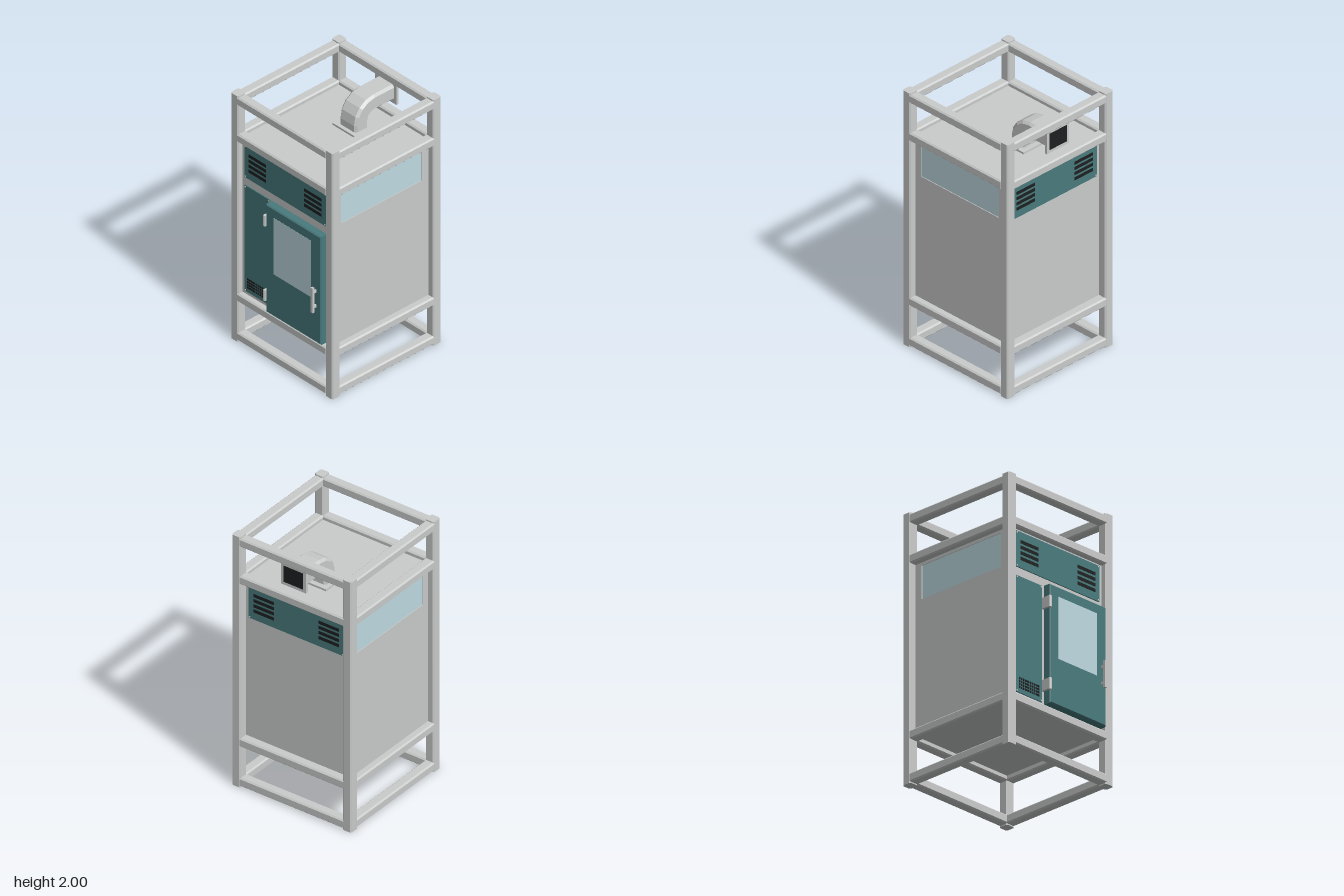
import * as THREE from 'three';

const mat = (name, color) => new THREE.MeshStandardMaterial({ name, color });

export function createModel() {
  const grey = mat('grey metal', 0xcacccb);
  const teal = mat('teal paint', 0x487a7d);
  const glass = mat('pale glass', 0xbedae1);
  const black = mat('black opening', 0x1c1f20);
  const root = new THREE.Group();
  root.name = 'cabinet';
  const ZC = -0.032; // middle of the frame in depth
  const FRONT = 0.425, BACK = -0.468, SIDE = 0.45; // faces of the enclosure

  const add = (parent, name, geo, material, x = 0, y = 0, z = 0) => {
    const m = new THREE.Mesh(geo, material);
    m.name = name;
    m.position.set(x, y, z);
    parent.add(m);
    return m;
  };
  // Box given by its limits on each axis
  const box = (parent, name, material, [x0, x1], [y0, y1], [z0, z1]) =>
    add(parent, name, new THREE.BoxGeometry(x1 - x0, y1 - y0, z1 - z0), material,
      (x0 + x1) / 2, (y0 + y1) / 2, (z0 + z1) / 2);
  const group = (name, parent = root) => {
    const g = new THREE.Group();
    g.name = name;
    parent.add(g);
    return g;
  };
  // Corner points of a chamfered rectangle, counter-clockwise
  const octagon = (w, h, c) => {
    const a = w / 2, b = h / 2;
    return [[a, -b + c], [a, b - c], [a - c, b], [-a + c, b], [-a, b - c], [-a, -b + c], [-a + c, -b], [a - c, -b]]
      .map(p => new THREE.Vector2(...p));
  };
  const bar = (w, h, length, c = 0.01) => {
    const g = new THREE.ExtrudeGeometry(new THREE.Shape(octagon(w, h, c)), { depth: length, bevelEnabled: false });
    return g.translate(0, 0, -length / 2);
  };
  const rectPath = (Type, x0, x1, y0, y1) => new Type(
    [[x0, y0], [x1, y0], [x1, y1], [x0, y1]].map(p => new THREE.Vector2(...p)));

  // Frame: four posts and four rings of rails
  const frame = group('frame');
  const T = 0.074, H = 0.068, off = 0.5 - T / 2;
  for (const sx of [-1, 1]) for (const sz of [-1, 1])
    add(frame, 'post', bar(T, T, 2).rotateX(Math.PI / 2), grey, sx * off, 1, ZC + sz * off);
  for (const y of [0.0425, 0.3585, 1.6575, 1.9565]) for (const s of [-1, 1]) {
    add(frame, 'crossRail', bar(T, H, 0.87).rotateY(Math.PI / 2), grey, 0, y, ZC + s * off);
    add(frame, 'sideRail', bar(T, H, 0.87), grey, s * off, y, ZC);
  }

  // Enclosed body with a side skin that leaves a window opening
  const body = group('body');
  box(body, 'core', grey, [-SIDE + 0.012, SIDE - 0.012], [0.36, 1.66], [BACK, FRONT]);
  for (const s of [-1, 1]) {
    const skin = rectPath(THREE.Shape, -0.41, 0.465, 0.365, 1.655);
    skin.holes.push(rectPath(THREE.Path, -0.34, 0.40, 1.352, 1.602));
    // shape x runs along -z once turned
    const geo = new THREE.ExtrudeGeometry(skin, { depth: 0.012, bevelEnabled: false }).rotateY(Math.PI / 2);
    add(body, 'sidePanel', geo, grey, s > 0 ? SIDE - 0.012 : -SIDE);
    const gx = s * (SIDE - 0.009);
    box(body, 'sideWindow', glass, [gx - 0.004, gx + 0.004], [1.352, 1.602], [-0.40, 0.34]);
  }

  // Teal cover plate with a screw at each corner, facing +z
  const cover = (parent, name, x0, x1, y0, y1) => {
    const g = group(name, parent);
    box(g, 'plate', teal, [x0, x1], [y0, y1], [0, 0.008]);
    for (const x of [x0 + 0.01, x1 - 0.01]) for (const y of [y0 + 0.01, y1 - 0.01])
      add(g, 'screw', new THREE.CylinderGeometry(0.006, 0.006, 0.004, 8).rotateX(Math.PI / 2), grey, x, y, 0.009);
    return g;
  };
  const louvredCover = (name) => {
    const g = cover(root, name, -0.4, 0.4, 1.345, 1.61);
    for (const s of [-1, 1]) for (let i = 0; i < 4; i++) {
      const x = s * 0.273, y = 1.415 + i * 0.041;
      box(g, 'slot', black, [x - 0.085, x + 0.085], [y - 0.012, y + 0.012], [0.007, 0.01]);
    }
    return g;
  };
  louvredCover('frontLouvres').position.z = FRONT;
  const rear = louvredCover('backLouvres');
  rear.rotation.y = Math.PI;
  rear.position.z = BACK;

  // Narrow service cover with a perforated vent
  const service = cover(root, 'serviceCover', -0.4, -0.15, 0.42, 1.28);
  service.position.z = FRONT;
  for (let r = 0; r < 4; r++) for (let c = 0; c < 10; c++) {
    const x = -0.365 + c * 0.02, y = 0.46 + r * 0.022;
    box(service, 'ventHole', black, [x - 0.007, x + 0.007], [y - 0.008, y + 0.008], [0.007, 0.01]);
  }

  // Door with bevelled edge, flush window, handle and hinges
  const door = group('door');
  const b = 0.008;
  const leaf = rectPath(THREE.Shape, -0.13 + b, 0.41 - b, 0.408 + b, 1.287 - b);
  add(door, 'doorLeaf', new THREE.ExtrudeGeometry(leaf,
    { depth: 0.05, bevelThickness: b, bevelSize: b, bevelSegments: 1 }), teal, 0, 0, 0.432);
  box(door, 'doorWindow', glass, [-0.054, 0.316], [0.754, 1.214], [0.484, 0.491]);
  const handle = group('handle', door);
  box(handle, 'grip', grey, [0.352, 0.373], [0.67, 0.87], [0.513, 0.531]);
  for (const y of [0.71, 0.83])
    box(handle, 'stem', grey, [0.356, 0.369], [y - 0.01, y + 0.01], [0.485, 0.518]);
  for (const y of [0.545, 1.153]) {
    add(door, 'hingeBarrel', new THREE.CylinderGeometry(0.013, 0.013, 0.084, 6).toNonIndexed(), grey, -0.135, y, 0.492)
      .geometry.computeVertexNormals();
    box(door, 'hingeLeaf', grey, [-0.147, -0.13], [y - 0.04, y + 0.04], [FRONT, 0.49]);
  }

  // Duct: chamfered section swept up and through a bend to the back
  const duct = group('duct');
  const section = octagon(0.166, 0.122, 0.018), R = 0.114, cy = 1.725, cz = -0.31;
  const stations = [[1.66, cz + R, 0]];
  for (let i = 0; i <= 4; i++) {
    const a = i * Math.PI / 8;
    stations.push([cy + R * Math.sin(a), cz + R * Math.cos(a), a]);
  }
  stations.push([cy + R, -0.495, Math.PI / 2]);
  const pos = [], idx = [];
  stations.forEach(([y, z, a], k) => section.forEach((p, i) => {
    pos.push(p.x, y + p.y * Math.sin(a), z + p.y * Math.cos(a));
    if (k === 0) return;
    const j = (i + 1) % 8, lo = (k - 1) * 8, hi = k * 8;
    idx.push(lo + i, hi + i, hi + j, lo + i, hi + j, lo + j);
  }));
  const sweep = new THREE.BufferGeometry();
  sweep.setAttribute('position', new THREE.Float32BufferAttribute(pos, 3));
  sweep.setIndex(idx);
  const flat = sweep.toNonIndexed();
  flat.computeVertexNormals();
  add(duct, 'ductPipe', flat, grey);
  box(duct, 'ductBase', grey, [-0.115, 0.115], [1.655, 1.675], [-0.296, -0.106]);

  // Outlet flange with a dark opening
  box(duct, 'outletFlange', grey, [-0.105, 0.105], [1.75, 1.925], [-0.508, -0.488]);
  box(duct, 'outletOpening', black, [-0.082, 0.082], [1.774, 1.901], [-0.511, -0.506]);

  return root;
}
